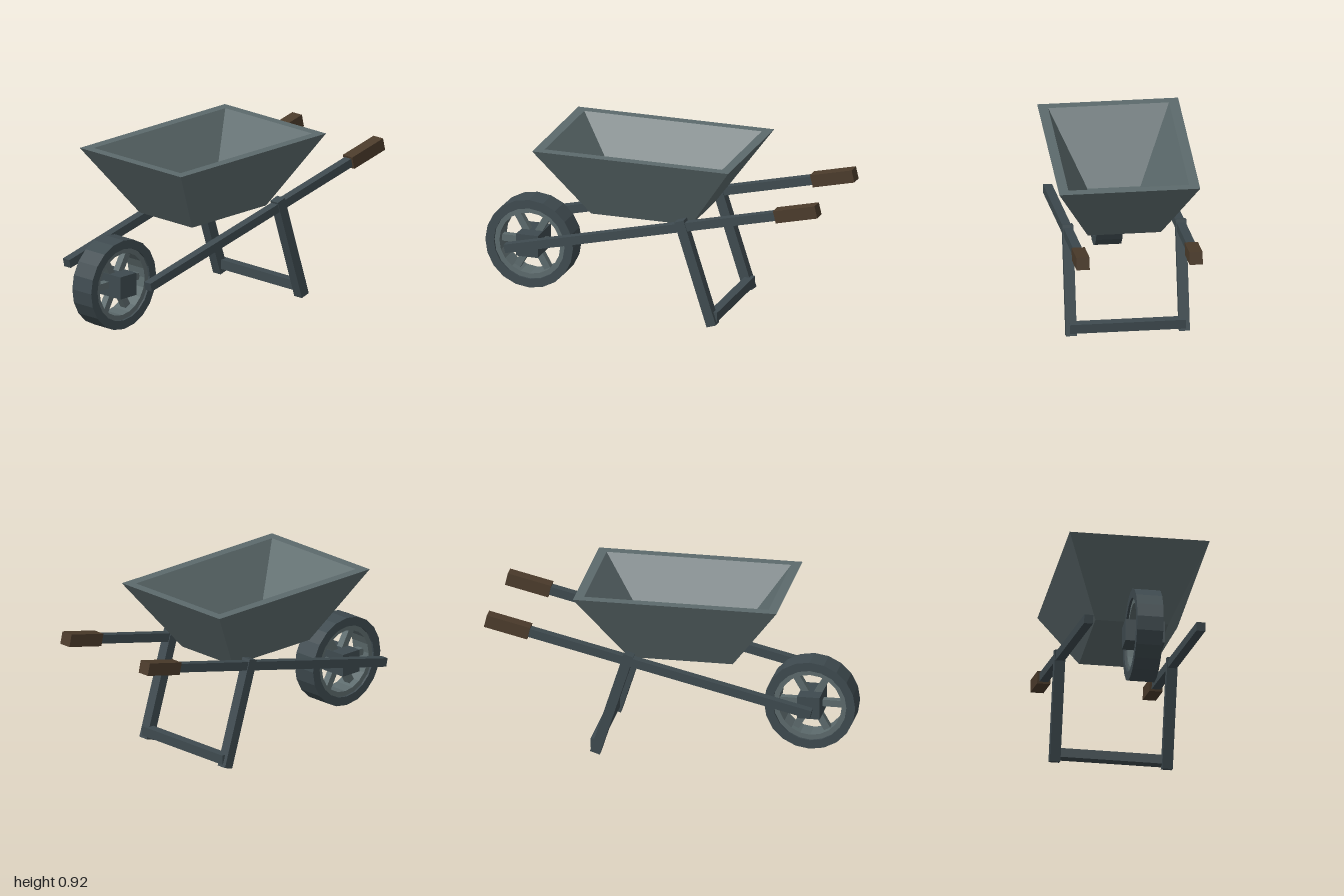
import * as THREE from 'three';

const mat = (name, color) => {
  const m = new THREE.MeshStandardMaterial({ color, flatShading: true });
  m.name = name;
  return m;
};

export function createModel() {
  const tray = mat('light grey metal', 0x5c6a6c);
  const frame = mat('dark grey metal', 0x3e4a4f);
  const wood = mat('brown grip', 0x4b3b2b);
  const model = new THREE.Group();
  model.name = 'wheelbarrow';

  const add = (parent, name, geometry, material, x = 0, y = 0, z = 0, rz = 0) => {
    const mesh = new THREE.Mesh(geometry, material);
    mesh.name = name;
    mesh.position.set(x, y, z);
    mesh.rotation.z = rz;
    parent.add(mesh);
    return mesh;
  };

  // Square bar running between two points of the side plane
  const bar = (name, [x0, y0], [x1, y1], thick, wide, z, material) => {
    const dx = x1 - x0, dy = y1 - y0;
    add(model, name, new THREE.BoxGeometry(Math.hypot(dx, dy), thick, wide), material,
      (x0 + x1) / 2, (y0 + y1) / 2, z, Math.atan2(dy, dx));
  };

  // Tray: rectangular rings from the outer bottom, over the lip, to the inner floor
  const rings = [
    [0.287, 0.528, 0.2],
    [0.563, 0.916, 0.385],
    [0.51, 0.916, 0.33],
    [0.24, 0.55, 0.145],
  ].map(([w, y, d]) => [[w, y, d], [w, y, -d], [-w, y, -d], [-w, y, d]]);
  const pos = [];
  const quad = (a, b, c, d) => pos.push(...a, ...b, ...c, ...a, ...c, ...d);
  for (let r = 0; r < 3; r++) {
    for (let i = 0; i < 4; i++) {
      const j = (i + 1) % 4;
      quad(rings[r][i], rings[r][j], rings[r + 1][j], rings[r + 1][i]);
    }
  }
  quad(...rings[3]);
  quad(...[...rings[0]].reverse());
  const trayGeo = new THREE.BufferGeometry();
  trayGeo.setAttribute('position', new THREE.Float32BufferAttribute(pos, 3));
  trayGeo.computeVertexNormals();
  add(model, 'tray', trayGeo, tray, -0.062);

  // Handles, grips and legs on both sides
  for (const [side, z] of [['left', 0.309], ['right', -0.309]]) {
    bar(side + 'Handle', [-0.803, 0.316], [0.80, 0.693], 0.048, 0.049, z, frame);
    bar(side + 'Grip', [0.753, 0.682], [0.992, 0.738], 0.07, 0.072, z, wood);
    bar(side + 'Leg', [0.388, 0.0085], [0.202, 0.591], 0.056, 0.058, z, frame);
  }
  add(model, 'legCrossbar', new THREE.BoxGeometry(0.05, 0.053, 0.634), frame, 0.39, 0.057, 0);

  // Wheel: faceted tyre and rim rings, three through-spokes and a block hub
  const wheel = new THREE.Group();
  wheel.name = 'wheel';
  wheel.position.set(-0.75, 0.264, 0);
  model.add(wheel);
  const polygon = (radius) => Array.from({ length: 20 }, (_, i) => {
    const a = (i / 20) * Math.PI * 2;
    return new THREE.Vector2(Math.cos(a) * radius, Math.sin(a) * radius);
  });
  const ring = (outer, inner, depth) => {
    const shape = new THREE.Shape(polygon(outer));
    shape.holes.push(new THREE.Path(polygon(inner)));
    return new THREE.ExtrudeGeometry(shape, { depth, bevelEnabled: false }).translate(0, 0, -depth / 2);
  };
  add(wheel, 'tyre', ring(0.252, 0.203, 0.144), frame);
  add(wheel, 'rim', ring(0.205, 0.175, 0.12), tray);
  for (let i = 0; i < 3; i++) {
    add(wheel, 'spoke', new THREE.BoxGeometry(0.365, 0.038, 0.04), tray, 0, 0, 0, (i * Math.PI) / 3);
  }
  add(wheel, 'hub', new THREE.BoxGeometry(0.124, 0.126, 0.216), frame);

  return model;
}
